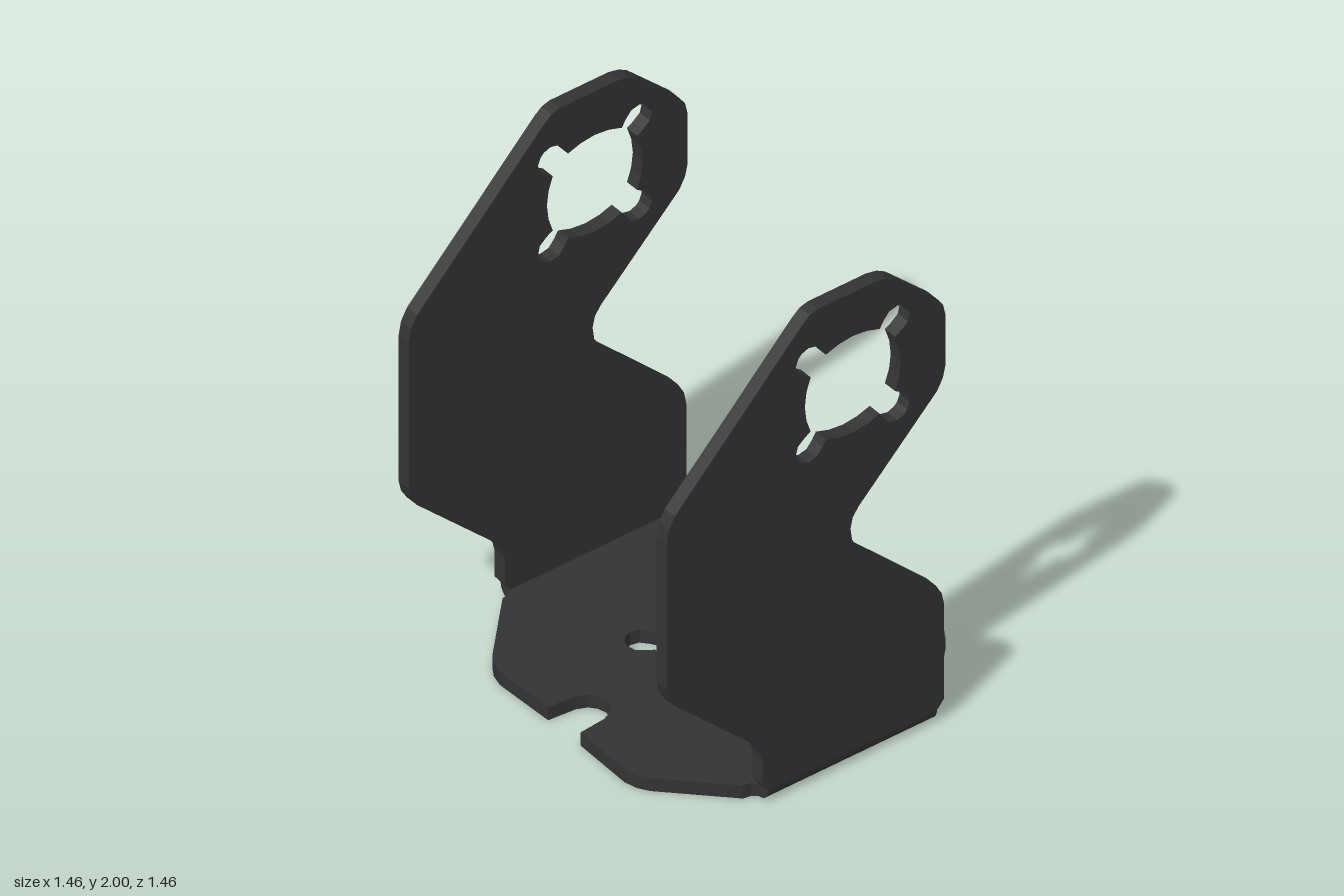
import * as THREE from 'three';

const T = 0.055;      // sheet thickness
const HALF = 0.73;    // outer half depth
const CX = 0.06;      // axis shared by all the cut-outs

const toVecs = (pts) => pts.map(([x, y]) => new THREE.Vector2(x, y));

// Repeats a first-quadrant outline in all four quadrants, in order around the centre
function fourWay(quarter, cx, cy) {
  const back = [...quarter].reverse();
  const all = [
    ...quarter,
    ...back.map(([x, y]) => [-x, y]),
    ...quarter.map(([x, y]) => [-x, -y]),
    ...back.map(([x, y]) => [x, -y]),
  ].map(([x, y]) => [x + cx, y + cy]);
  // drop points doubled on the axes
  return all.filter((p, i) => {
    const q = all[(i + 1) % all.length];
    return Math.hypot(p[0] - q[0], p[1] - q[1]) > 1e-4;
  });
}

// Round bearing hole with four screw ears
function mountHole(cx, cy) {
  const half = [[0.205, 0], [0.198, 0.06], [0.18, 0.115], [0.205, 0.13],
    [0.235, 0.155], [0.243, 0.19], [0.232, 0.218]];
  const other = [...half].reverse().map(([x, y]) => [y, x]);
  return new THREE.Path(toVecs(fourWay([...half, ...other], cx, cy)));
}

function extrude(shape, depth) {
  return new THREE.ExtrudeGeometry(shape, { depth, bevelEnabled: false });
}

export function createModel() {
  const group = new THREE.Group();
  const mat = new THREE.MeshStandardMaterial({ color: 0x333335 });
  const add = (name, geo) => {
    const mesh = new THREE.Mesh(geo, mat);
    mesh.name = name;
    group.add(mesh);
  };

  // Base plate: chamfered octagon with an open slot on each side
  const base = new THREE.Shape(toVecs(fourWay([
    [0.48, 0], [0.49, 0.035], [0.51, 0.06], [0.55, 0.078], [0.66, 0.088],
    [0.668, 0.34], [0.655, 0.39], [0.63, 0.43], [0.41, 0.655], [0.38, 0.66], [0.36, 0.675],
  ], CX, 0)));
  base.holes.push(mountHole(CX, 0));
  add('basePlate', extrude(base, T).rotateX(-Math.PI / 2));

  // Cranked side arm with softened corners
  const arm = new THREE.Shape(toVecs([
    [0.42, T], [0.45, 0.09], [0.45, 0.49], [0.44, 0.54], [0.415, 0.585],
    [0.08, 0.91], [0.057, 0.95], [0.05, 1.0], [0.06, 1.045], [0.085, 1.08],
    [0.42, 1.41], [0.445, 1.455], [0.455, 1.5], [0.455, 1.72], [0.445, 1.765], [0.42, 1.8],
    [0.24, 1.97], [0.205, 1.99], [0.16, 2.0], [-0.09, 2.0], [-0.125, 1.99], [-0.155, 1.965],
    [-0.7, 1.41], [-0.725, 1.365], [-0.735, 1.31], [-0.735, 0.69], [-0.725, 0.645], [-0.7, 0.605],
    [-0.355, 0.275], [-0.335, 0.24], [-0.325, 0.2], [-0.325, 0.09], [-0.3, T],
  ]));
  arm.holes.push(mountHole(CX, 1.61));

  for (const [side, s] of [['front', 1], ['back', -1]]) {
    add(side + 'Arm', extrude(arm, T).translate(0, 0, s > 0 ? HALF - T : -HALF));

    // Rounded bend joining the arm to the base
    const bend = [[s * (HALF - T), T]];
    for (let i = 0; i <= 5; i++) {
      const a = (i / 5) * Math.PI / 2;
      bend.push([s * (HALF - T + T * Math.sin(a)), T - T * Math.cos(a)]);
    }
    add(side + 'Bend', extrude(new THREE.Shape(toVecs(bend)), 0.72)
      .rotateY(-Math.PI / 2).translate(0.42, 0, 0));
  }
  return group;
}
